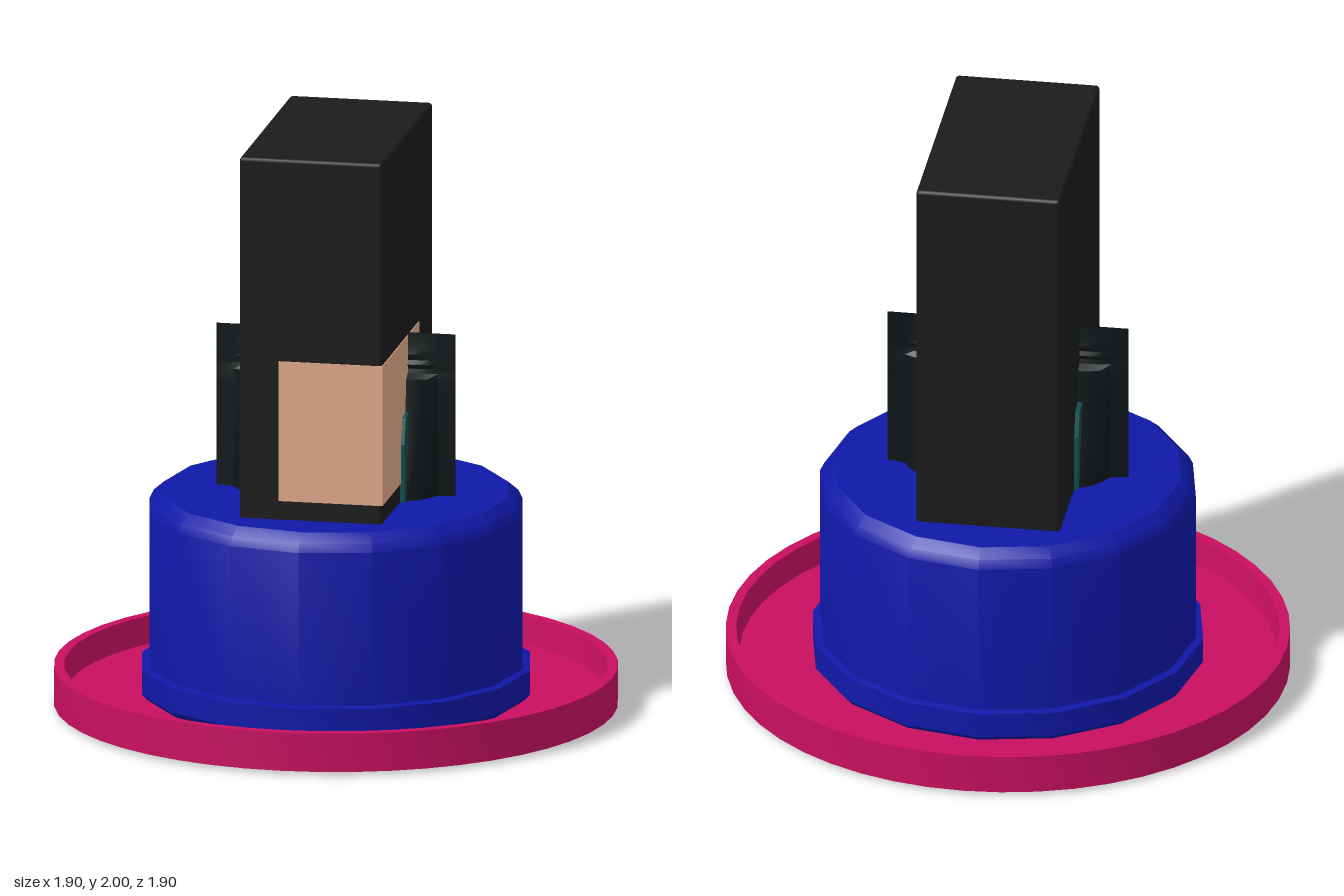
import * as THREE from 'three';
import { toCreasedNormals } from 'three/addons/utils/BufferGeometryUtils.js';
import { RoundedBoxGeometry } from 'three/addons/geometries/RoundedBoxGeometry.js';

const material = (color, side = THREE.FrontSide) => new THREE.MeshStandardMaterial({ color, side });
const points = (list) => list.map(([x, y]) => new THREE.Vector2(x, y));

function addMesh(parent, name, geometry, mat, x = 0, y = 0, z = 0) {
  const mesh = new THREE.Mesh(geometry, mat);
  mesh.name = name;
  mesh.position.set(x, y, z);
  parent.add(mesh);
  return mesh;
}

const lathe = (profile, sides) =>
  toCreasedNormals(new THREE.LatheGeometry(points(profile), sides), 0.5);

// Extrudes a (z, y) outline along +x, from x0 over the given depth
function extrudeAlongX(outline, x0, depth, steps) {
  const geometry = new THREE.ExtrudeGeometry(new THREE.Shape(points(outline)), {
    depth, steps, bevelEnabled: false,
  });
  return geometry.rotateY(Math.PI / 2).translate(x0, 0, 0);
}

// Spired fin: full width near the tower, pinched to a thin vertical blade outside
function finGeometry() {
  const half = [
    [0.11, 0.74], [0.065, 0.95], [0.042, 1.1], [0.036, 1.155], [0.008, 1.17],
    [0.004, 1.185], [0.011, 1.2], [0.004, 1.215], [0.008, 1.235], [0.003, 1.255],
  ];
  const mirrored = half.map(([z, y]) => [-z, y]).reverse();
  const x0 = 0.2, step = 0.03;
  const pinch = [1, 1, 1, 0.85, 0.58, 0.15, 0.07, 0.04];
  const geometry = extrudeAlongX([...half, [0, 1.31], ...mirrored], x0, step * 7, 7);
  const p = geometry.attributes.position;
  for (let i = 0; i < p.count; i++) {
    p.setZ(i, p.getZ(i) * pinch[Math.round((p.getX(i) - x0) / step)]);
  }
  return toCreasedNormals(geometry, 0.4);
}

export function createModel() {
  const model = new THREE.Group();
  model.name = 'towerOnPedestal';
  const pink = material(0xc80f60);
  const blue = material(0x1018a8);
  const black = material(0x1b1b1b);
  const peach = material(0xe0aa8a);
  const teal = material(0x0f4c4a);
  const dark = material(0x0e1517, THREE.DoubleSide);

  // Shallow dish with a raised rim and a very slightly domed underside
  addMesh(model, 'dish', lathe([
    [0, 0], [0.17, 0.003], [0.8, 0.008], [0.95, 0.012], [0.95, 0.145],
    [0.915, 0.145], [0.905, 0.05], [0, 0.05],
  ], 48), pink);

  // Sixteen-sided drum with a foot lip and bevelled top
  addMesh(model, 'drum', lathe([
    [0, 0.045], [0.64, 0.045], [0.665, 0.07], [0.665, 0.155], [0.64, 0.16],
    [0.64, 0.69], [0.625, 0.72], [0.59, 0.75], [0, 0.75],
  ], 16), blue);

  // Upright tower block
  addMesh(model, 'tower', new RoundedBoxGeometry(0.49, 1.26, 0.87, 1, 0.012), black, 0, 1.37, 0);

  // Panel wrapping the front and one side of the tower
  const panel = new THREE.Group();
  panel.name = 'wrapPanel';
  model.add(panel);
  addMesh(panel, 'frontPanel', new THREE.BoxGeometry(0.357, 0.485, 0.02), peach, 0.0695, 1.0575, 0.428);
  addMesh(panel, 'sidePanel', new THREE.BoxGeometry(0.02, 0.485, 0.628), peach, 0.238, 1.0575, 0.124);

  // Matching fins with backing plates on both sides
  const fin = finGeometry();
  const plate = extrudeAlongX([
    [-0.125, 0.74], [-0.125, 0.95], [-0.1, 1.035], [-0.05, 1.045],
    [0.05, 1.04], [0.1, 1.02], [0.135, 0.95], [0.135, 0.81], [0.11, 0.74],
  ], 0.23, 0.03, 1);
  for (const [name, turn] of [['leftFin', 0], ['rightFin', Math.PI]]) {
    const group = new THREE.Group();
    group.name = name;
    group.rotation.y = turn;
    addMesh(group, 'spireFin', fin, dark);
    addMesh(group, 'backingPlate', plate, teal);
    model.add(group);
  }
  return model;
}
